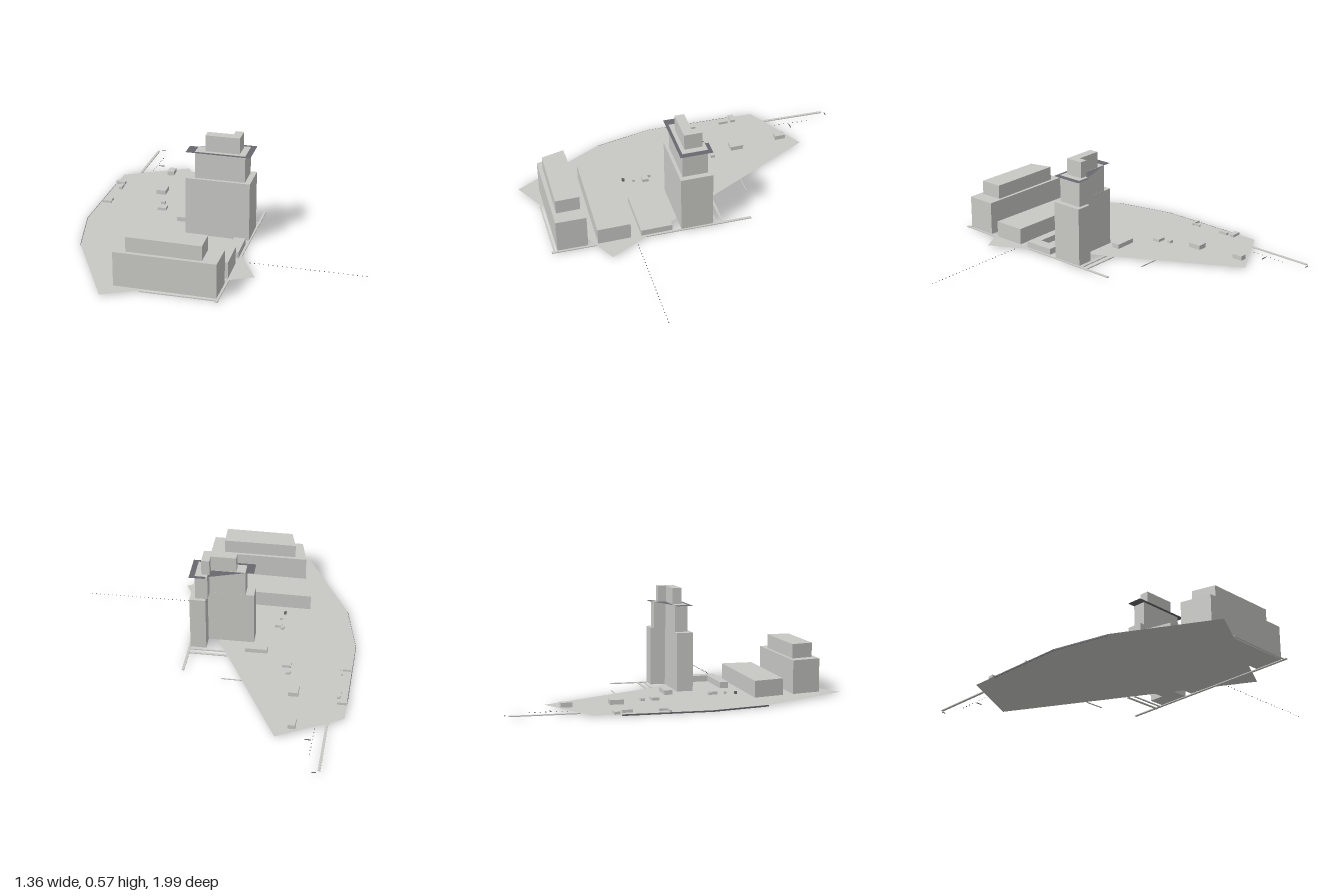
import * as THREE from 'three';

const stone = new THREE.MeshStandardMaterial({ color: 0xc8c8c5, side: THREE.DoubleSide });
stone.name = 'pale grey';
const slate = new THREE.MeshStandardMaterial({ color: 0x68686e, side: THREE.DoubleSide });
slate.name = 'dark grey';

const GROUND = 0.008;
const ANGLE = 0.49; // the street grid is turned against the site
const U = [Math.cos(ANGLE), Math.sin(ANGLE)]; // along the fronts, in x and z
const V = [Math.sin(ANGLE), -Math.cos(ANGLE)]; // towards the back

export function createModel() {
  const model = new THREE.Group();
  model.name = 'cityBlock';

  const add = (name, geometry, material = stone) => {
    const mesh = new THREE.Mesh(geometry, material);
    mesh.name = name;
    model.add(mesh);
    return mesh;
  };
  // Plan points are [x, z]
  const plan = (points) => points.map(([x, z]) => new THREE.Vector2(x, -z));
  const sheet = (name, points, y, material, hole) => {
    const shape = new THREE.Shape(plan(points));
    if (hole) shape.holes.push(new THREE.Path(plan(hole)));
    add(name, new THREE.ShapeGeometry(shape).rotateX(-Math.PI / 2).translate(0, y, 0), material);
  };
  const block = (name, points, y0, y1) => {
    const geometry = new THREE.ExtrudeGeometry(new THREE.Shape(plan(points)), { depth: y1 - y0, bevelEnabled: false });
    add(name, geometry.rotateX(-Math.PI / 2).translate(0, y0, 0));
  };
  // Straight bar between two plan points
  const bar = (name, [x0, z0], [x1, z1], width, y0, y1, material) => {
    const mesh = add(name, new THREE.BoxGeometry(Math.hypot(x1 - x0, z1 - z0), y1 - y0, width), material);
    mesh.position.set((x0 + x1) / 2, (y0 + y1) / 2, (z0 + z1) / 2);
    mesh.rotation.y = -Math.atan2(z1 - z0, x1 - x0);
  };

  // Site and its dark edge wall
  sheet('ground', [[-0.28, -0.67], [0.12, -0.67], [0.12, 0.78], [-0.68, 0.78], [-0.68, 0.2], [-0.59, -0.12]], GROUND, stone);
  const edge = [[-0.68, 0.2], [-0.59, -0.12], [-0.355, -0.54]];
  for (let i = 0; i < 2; i++) bar('edgeWall', edge[i], edge[i + 1], 0.003, 0, GROUND, slate);

  // Stepped hall, long hall and low corner building
  block('steppedHallBase', [[-0.55, 0.535], [-0.045, 0.81], [-0.125, 0.955], [-0.595, 0.70]], GROUND, 0.195);
  block('steppedHallTop', [[-0.50, 0.583], [-0.125, 0.785], [-0.185, 0.90], [-0.53, 0.71]], 0.195, 0.275);
  block('longHall', [[-0.485, 0.30], [0.067, 0.605], [-0.017, 0.765], [-0.53, 0.475]], GROUND, 0.1);
  block('cornerBuilding', [[-0.15, 0.37], [0.065, 0.485], [0.12, 0.375], [0.175, 0.405], [0.095, 0.557], [-0.17, 0.415]], GROUND, 0.042);

  // Tower of three L-shaped tiers
  const lShape = ([x, z], width, barDepth, wingDepth, wingWidth) =>
    [[0, 0], [width, 0], [width, wingDepth], [width - wingWidth, wingDepth], [width - wingWidth, barDepth], [0, barDepth]]
      .map(([u, v]) => [x + u * U[0] + v * V[0], z + u * U[1] + v * V[1]]);
  const lower = lShape([-0.105, 0.2], 0.351, 0.092, 0.177, 0.09);
  const middle = lShape([-0.055, 0.207], 0.273, 0.074, 0.14, 0.07);
  const upper = lShape([0, 0.213], 0.187, 0.052, 0.1, 0.045);
  block('towerBase', lower, GROUND, 0.335);
  block('towerMiddle', middle, 0.335, 0.485);
  block('towerTop', upper, 0.485, 0.575);
  sheet('towerCanopy', lower, 0.484, slate, middle);

  // Kerbs and walkways beyond the site
  const walks = [
    [[-0.18, -0.67], [0, -0.99], 0.014],
    [[0.395, 0.025], [-0.135, 0.985], 0.014],
    [[0.12, 0.06], [0.325, 0.17], 0.012],
    [[0.12, 0.1], [0.30, 0.195], 0.008],
    [[0.12, -0.175], [0.22, -0.12], 0.004],
    [[-0.48, 0.785], [-0.12, 0.975], 0.008],
  ];
  for (const [a, b, width] of walks) bar('walkway', a, b, width, 0.003, GROUND, stone);

  // Small sheds: x, z, width, depth, height
  const sheds = [
    [-0.05, 0.045, 0.125, 0.045, 0.025], [-0.16, -0.14, 0.05, 0.042, 0.015],
    [-0.14, -0.21, 0.025, 0.022, 0.015], [-0.11, -0.37, 0.055, 0.075, 0.025],
    [0, -0.62, 0.04, 0.06, 0.025], [-0.32, -0.548, 0.055, 0.03, 0.015],
    [-0.33, -0.485, 0.018, 0.055, 0.015], [-0.45, -0.302, 0.06, 0.01, 0.012],
    [-0.42, -0.315, 0.01, 0.045, 0.012], [-0.252, 0.215, 0.04, 0.035, 0.016],
    [-0.26, 0.18, 0.02, 0.018, 0.016], [-0.287, 0.27, 0.014, 0.014, 0.012],
    [-0.33, 0.31, 0.014, 0.014, 0.014, slate],
  ];
  for (const [x, z, w, d, h, material] of sheds) {
    const shed = add('shed', new THREE.BoxGeometry(w, h, d), material);
    shed.position.set(x, GROUND + h / 2, z);
    shed.rotation.y = -ANGLE;
  }

  // Rows of tiny ground markers
  const markers = (a, b, count) => {
    for (let i = 0; i < count; i++) {
      const t = i / (count - 1);
      const mark = add('marker', new THREE.BoxGeometry(0.004, 0.003, 0.004), slate);
      mark.position.set(a[0] + (b[0] - a[0]) * t, GROUND, a[1] + (b[1] - a[1]) * t);
    }
  };
  markers([0.14, 0.62], [0.678, 0.905], 26);
  markers([-0.1, -0.69], [0, -0.86], 8);
  bar('markerBar', [-0.05, -0.76], [-0.02, -0.745], 0.005, 0.005, GROUND, slate);
  bar('markerBar', [0.02, -0.998], [0.04, -0.987], 0.004, 0.005, GROUND, slate);
  return model;
}
